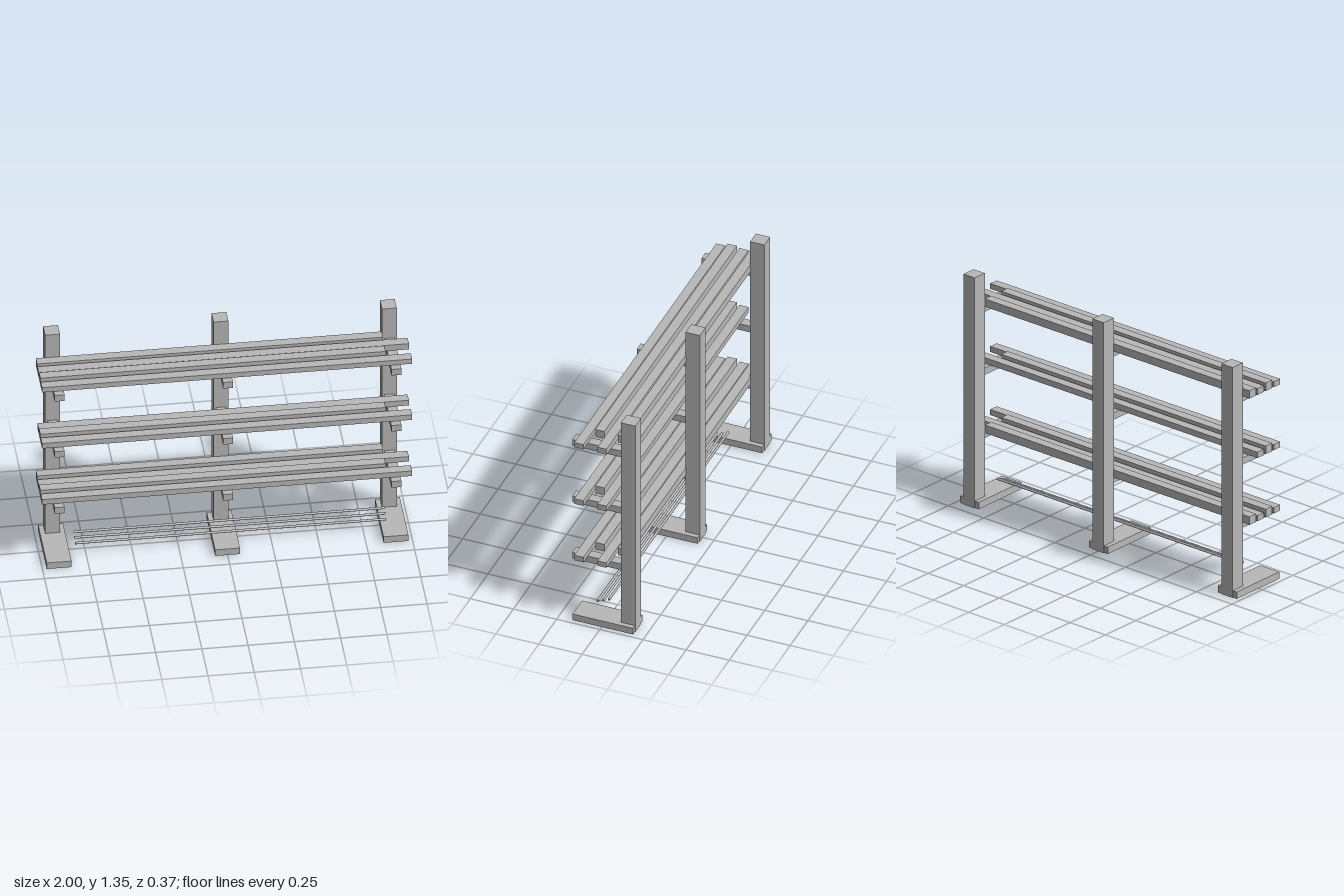
import * as THREE from 'three';

export function createModel() {
  const model = new THREE.Group();
  const grey = new THREE.MeshStandardMaterial({ color: 0xb8b8b8 });
  grey.name = 'plain grey';

  // Box given by its lower and upper limits on each axis
  function box(name, [x0, x1], [y0, y1], [z0, z1], parent) {
    const mesh = new THREE.Mesh(new THREE.BoxGeometry(x1 - x0, y1 - y0, z1 - z0), grey);
    mesh.position.set((x0 + x1) / 2, (y0 + y1) / 2, (z0 + z1) / 2);
    mesh.name = name;
    parent.add(mesh);
  }
  const around = (c, w) => [c - w / 2, c + w / 2];

  const shelfTops = [0.415, 0.785, 1.155];

  // Three uprights, each with a foot and three support arms
  for (const x of [-0.91, 0, 0.91]) {
    const upright = new THREE.Group();
    upright.name = 'upright';
    box('post', around(x, 0.08), [0, 1.35], [-0.185, -0.102], upright);
    box('foot', around(x, 0.134), [0.002, 0.042], [-0.183, 0.167], upright);
    for (const y of shelfTops) {
      box('supportArm', around(x, 0.054), [y - 0.04, y], [-0.11, 0.185], upright);
    }
    model.add(upright);
  }

  // Stored boards: [centre z, right end x, height on each shelf (0 = none)]
  const boards = [
    [0.121, 1, [0.033, 0.033, 0.031]],
    [0.055, 0.865, [0.047, 0.047, 0.047]],
    [-0.013, 1, [0.032, 0.034, 0.037]],
    [-0.078, 0.868, [0.047, 0, 0.046]],
  ];
  shelfTops.forEach((y, level) => {
    const stack = new THREE.Group();
    stack.name = 'boardStack';
    for (const [z, end, heights] of boards) {
      if (heights[level]) box('board', [-1, end], [y, y + heights[level]], around(z, 0.053), stack);
    }
    model.add(stack);
  });

  // Thin rods near the floor
  const rodGeometry = new THREE.CylinderGeometry(0.007, 0.007, 1.68, 10);
  rodGeometry.rotateZ(Math.PI / 2);
  for (let i = 0; i < 3; i++) {
    const rod = new THREE.Mesh(rodGeometry, grey);
    rod.name = 'rod';
    rod.position.set(0.03, 0.085 + i * 0.0135, 0.066 - i * 0.033);
    model.add(rod);
  }
  return model;
}
